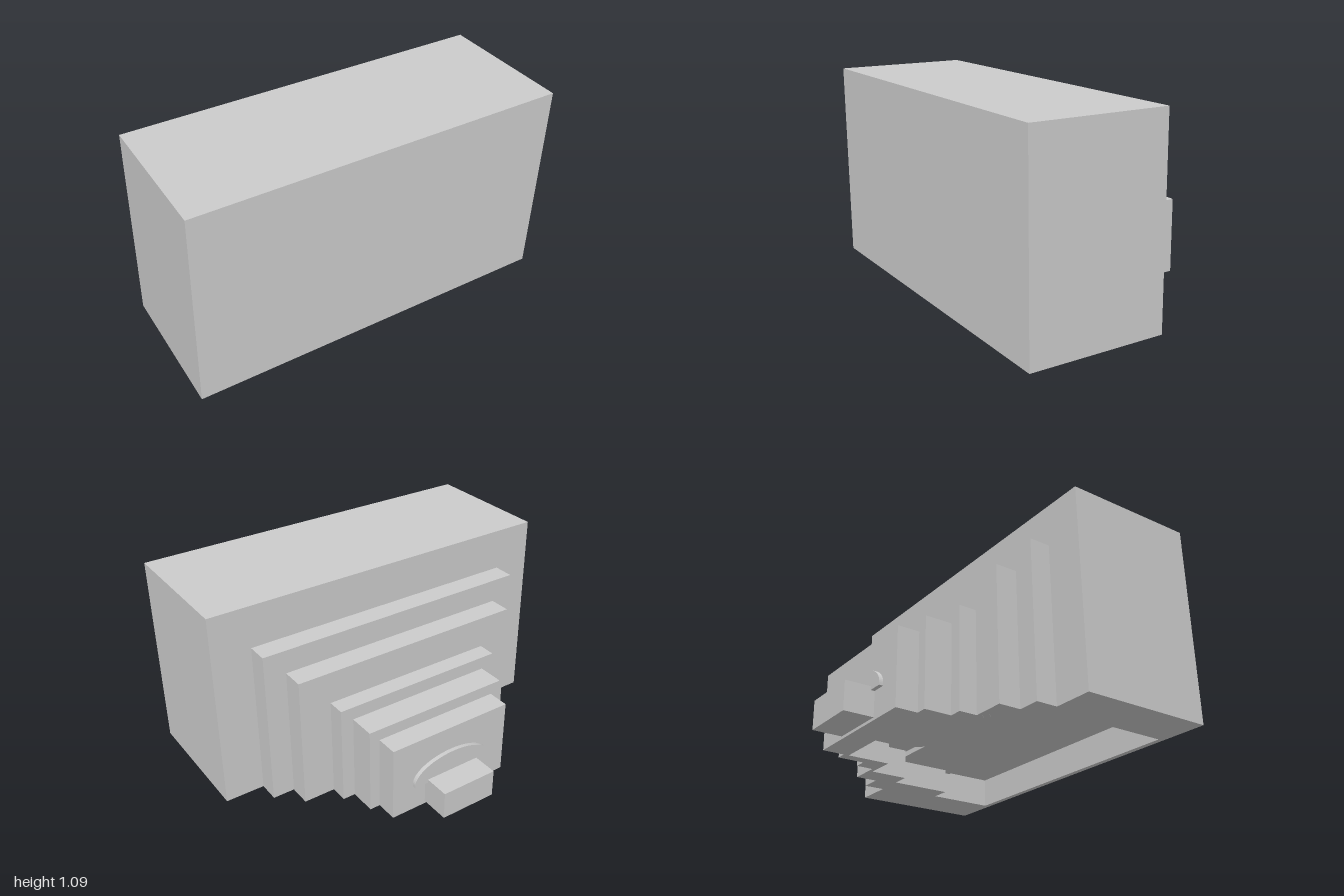
import * as THREE from 'three';

const material = new THREE.MeshStandardMaterial({ color: 0xcccccc, flatShading: true });
const CEILING = 0.163; // height of the recess under the building

// Rear tiers: half width, front z, back z, top y
const TIERS = [
  [0.785, 0.015, -0.102, 0.86],
  [0.665, -0.102, -0.223, 0.732],
  [0.49, -0.223, -0.32, 0.555],
  [0.42, -0.32, -0.468, 0.483],
  [0.362, -0.468, -0.588, 0.42],
];

export function createModel() {
  const group = new THREE.Group();

  const add = (name, geometry) => {
    const mesh = new THREE.Mesh(geometry, material);
    mesh.name = name;
    group.add(mesh);
    return mesh;
  };
  const box = (name, half, z0, z1, y0, y1) => {
    const mesh = add(name, new THREE.BoxGeometry(2 * half, y1 - y0, z0 - z1));
    mesh.position.set(0, (y0 + y1) / 2, (z0 + z1) / 2);
  };
  // Extrudes a floor plan drawn in x and z between two heights
  const slab = (name, shape, y0, y1) => {
    const geometry = new THREE.ExtrudeGeometry(shape, { depth: y1 - y0, bevelEnabled: false, curveSegments: 24 });
    geometry.rotateX(Math.PI / 2);
    add(name, geometry).position.y = y1;
  };
  // Mirrored stepped plan from rows of [half width, front z, back z]
  const steppedPoints = (rows) => {
    const side = rows.flatMap(([w, z0, z1]) => [[w, z0], [w, z1]]);
    const mirror = side.map(([x, z]) => [-x, z]).reverse();
    return [...side, ...mirror].map(([x, z]) => new THREE.Vector2(x, z));
  };

  // Upper masses
  box('mainBlock', 1, 0.75, 0.015, CEILING, 1.088);
  TIERS.forEach(([w, z0, z1, top], i) => box('rearTier' + (i + 1), w, z0, z1, CEILING, top));

  // Base walls around the recess, open below; the hole runs opposite to the outline
  const plan = new THREE.Shape(steppedPoints([[1, 0.75, 0.015], ...TIERS]));
  plan.holes.push(new THREE.Path(steppedPoints([
    [0.735, 0.72, 0.35],
    [0.63, 0.35, 0.01],
    [0.53, 0.01, -0.2],
    [0.36, -0.2, -0.44],
  ]).reverse()));
  slab('baseWalls', plan, 0, CEILING);

  // Curved terraces on the underside, lower towards the back
  const terrace = (name, half, back, zEnd, sag, y) => {
    const shape = new THREE.Shape();
    const radius = (half * half + sag * sag) / (2 * sag);
    const angle = Math.asin(half / radius);
    shape.moveTo(-half, back);
    shape.lineTo(half, back);
    shape.lineTo(half, zEnd);
    shape.absarc(0, zEnd + sag - radius, radius, Math.PI / 2 - angle, Math.PI / 2 + angle, false);
    shape.closePath();
    slab(name, shape, y, CEILING + 0.02);
  };
  for (let i = 0; i < 4; i++) {
    terrace('outerTerrace' + (i + 1), 0.74, 0.02, 0.44 - i * 0.045, 0.22, CEILING - 0.007 * (i + 1));
  }
  for (let i = 0; i < 5; i++) {
    terrace('innerTerrace' + (i + 1), 0.41 - i * 0.025, -0.43, -0.14 - i * 0.025, 0.3 - i * 0.012, 0.128 - 0.007 * i);
  }

  // Arched panel on the last tier
  const arch = new THREE.Shape();
  arch.moveTo(-0.24, 0.15);
  arch.lineTo(0.24, 0.15);
  arch.lineTo(0.24, 0.165);
  arch.absellipse(0, 0.165, 0.24, 0.12, 0, Math.PI, false, 0);
  arch.closePath();
  const panel = new THREE.ExtrudeGeometry(arch, { depth: 0.03, bevelEnabled: false, curveSegments: 20 });
  add('archedPanel', panel).position.z = -0.61;

  // Low block at the very back
  box('rearPorch', 0.16, -0.58, -0.75, 0.015, 0.17);

  return group;
}
